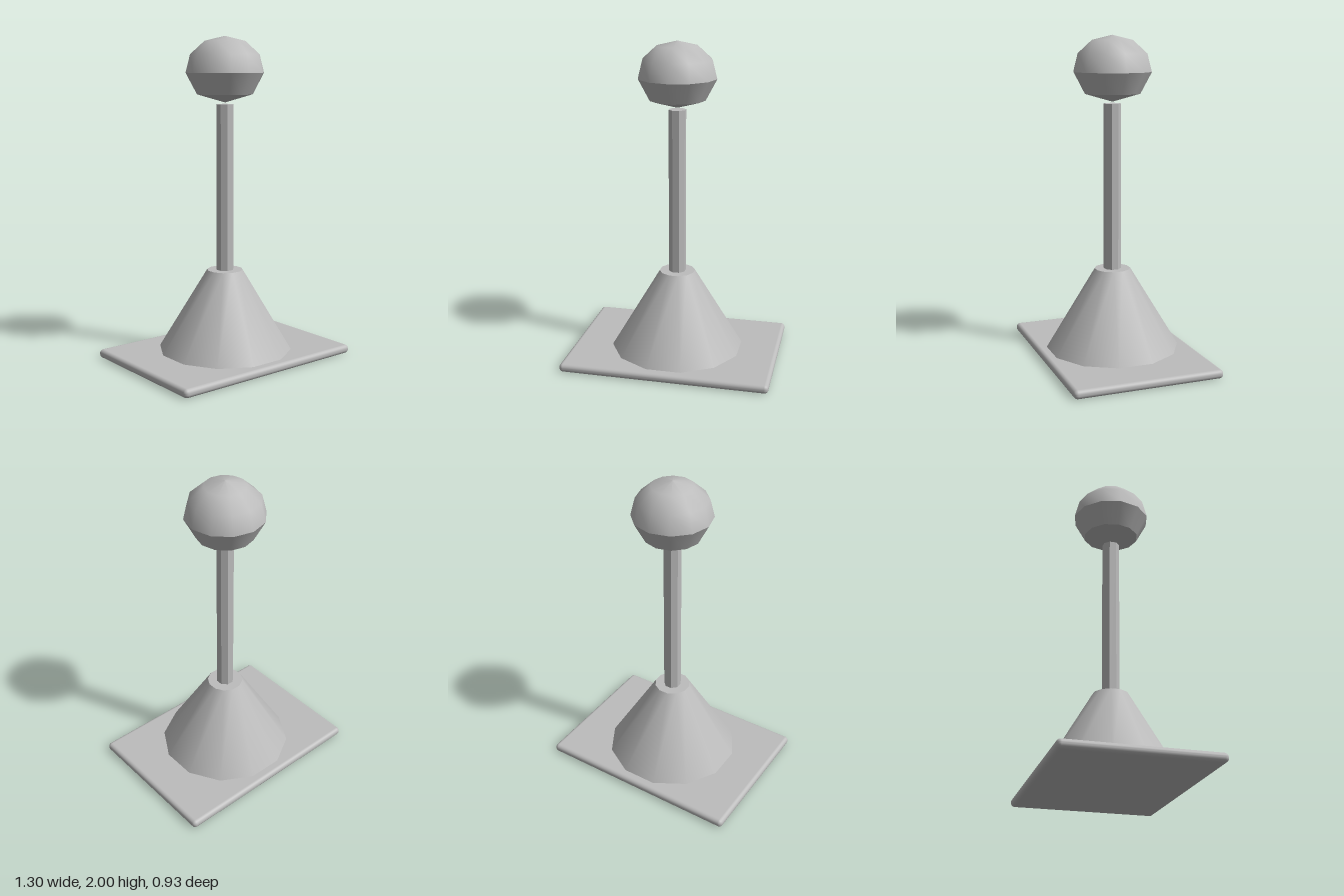
import * as THREE from 'three';
import { RoundedBoxGeometry } from 'three/addons/geometries/RoundedBoxGeometry.js';

export function createModel() {
  const model = new THREE.Group();
  const grey = new THREE.MeshStandardMaterial({ color: 0xbcbcbc });
  grey.name = 'grey';
  // Same grey, faceted for the narrow pole
  const facetedGrey = grey.clone();
  facetedGrey.flatShading = true;

  const add = (name, geometry, y, material = grey, parent = model) => {
    const mesh = new THREE.Mesh(geometry, material);
    mesh.name = name;
    mesh.position.y = y;
    parent.add(mesh);
    return mesh;
  };

  // Thin rectangular foot with rounded rim
  add('basePlate', new RoundedBoxGeometry(1.3, 0.054, 0.93, 3, 0.025), 0.027);

  // Twelve-sided tapered pedestal, flats facing the axes
  add('pedestal', new THREE.CylinderGeometry(0.112, 0.42, 0.51, 12, 1, false, Math.PI / 12), 0.305);

  // Eight-sided pole
  add('pole', new THREE.CylinderGeometry(0.054, 0.054, 1.04, 8, 1, false, Math.PI / 8), 1.07, facetedGrey);

  // Ball in three lathed bands, with sharp creases between them
  const ball = new THREE.Group();
  ball.name = 'ball';
  model.add(ball);
  const bands = {
    ballBottom: [[0, 1.6], [0.172, 1.65]],
    ballLowerBand: [[0.172, 1.65], [0.241, 1.78]],
    ballDome: [[0.241, 1.78], [0.213, 1.89], [0.125, 1.97], [0, 2]],
  };
  for (const [name, points] of Object.entries(bands)) {
    const profile = points.map(([r, y]) => new THREE.Vector2(r, y));
    add(name, new THREE.LatheGeometry(profile, 12), 0, grey, ball);
  }

  return model;
}
